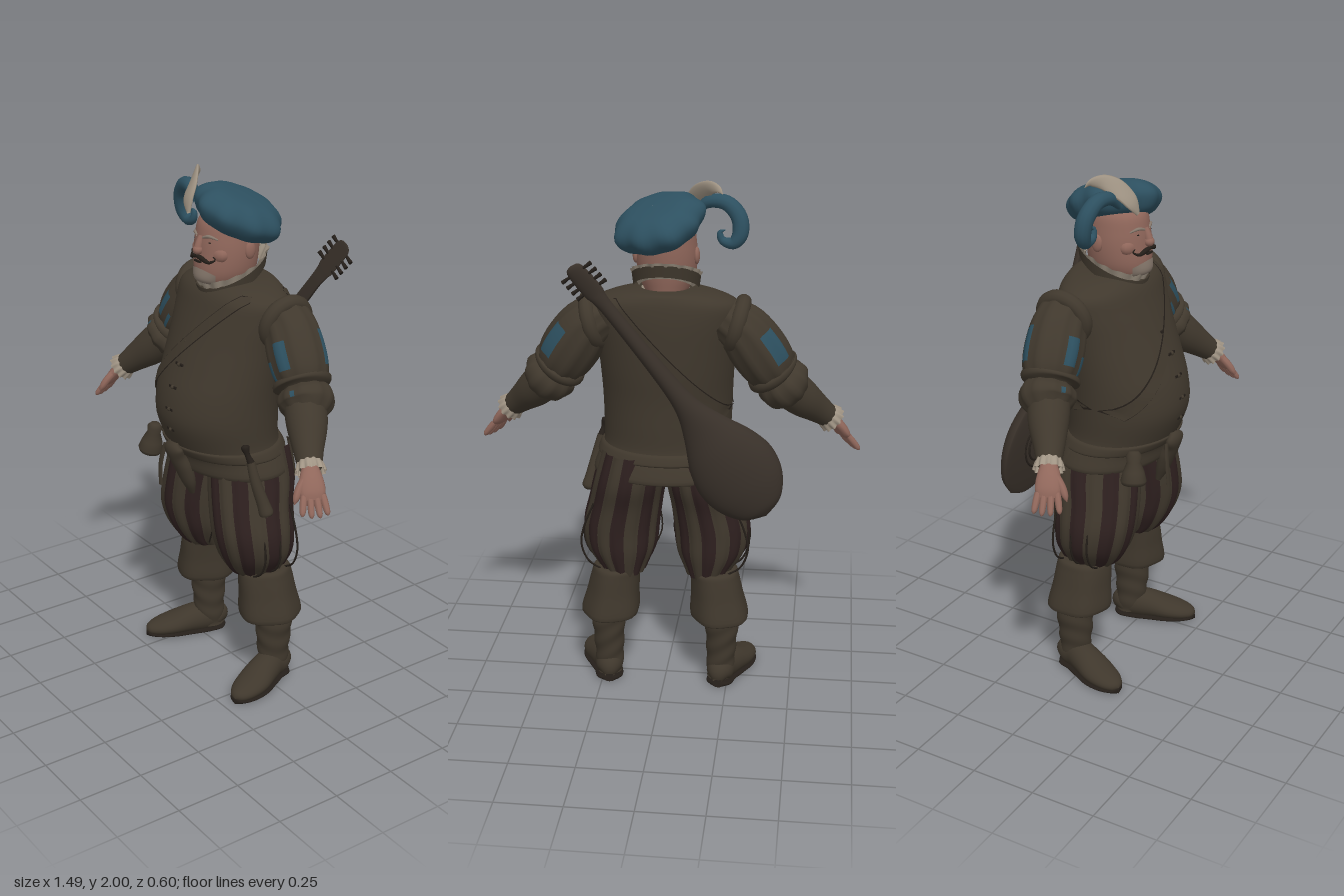
import * as THREE from 'three';

const V = (x, y, z) => new THREE.Vector3(x, y, z);
const mat = (name, color, side = THREE.FrontSide) =>
  Object.assign(new THREE.MeshStandardMaterial({ color, side }), { name });
const TAU = Math.PI * 2;

// Smooth interpolation through a small table of rows, t in 0..1
function sample(rows, t) {
  const n = rows.length - 1, i = Math.min(n - 1, Math.floor(t * n)), f = t * n - i;
  const at = k => rows[Math.max(0, Math.min(n, k))];
  return rows[0].map((_, c) => {
    const a = at(i - 1)[c], b = at(i)[c], d = at(i + 1)[c], e = at(i + 2)[c];
    return b + 0.5 * f * (d - a + f * (2 * a - 5 * b + 4 * d - e + f * (3 * (b - d) + e - a)));
  });
}

// Surface grid: u runs around, v runs along; pick chooses a material per cell
function grid(name, nu, nv, f, material, { open = false, pick } = {}) {
  const pos = [], w = open ? nu + 1 : nu, lists = [[], []];
  for (let j = 0; j <= nv; j++) for (let i = 0; i < w; i++) pos.push(...f(i / nu, j / nv).toArray());
  for (let j = 0; j < nv; j++) for (let i = 0; i < nu; i++) {
    const a = j * w + i, b = j * w + (i + 1) % w;
    lists[pick ? pick(i, j) : 0].push(a, b, b + w, a, b + w, a + w);
  }
  const g = new THREE.BufferGeometry();
  g.setAttribute('position', new THREE.Float32BufferAttribute(pos, 3));
  g.setIndex(lists.flat());
  if (pick) {
    g.addGroup(0, lists[0].length, 0);
    g.addGroup(lists[0].length, lists[1].length, 1);
  }
  g.computeVertexNormals();
  const m = new THREE.Mesh(g, material);
  m.name = name;
  return m;
}

// Upright form from rows of [y, centre x, half width, front z, back z]
const ringPoint = (rows, a, t, grow = 0) => {
  const [y, cx, rx, zf, zb] = sample(rows, t);
  return V(cx + (rx + grow) * Math.sin(a), y, (zf + zb) / 2 + ((zf - zb) / 2 + grow) * Math.cos(a));
};
const loft = (name, rows, material, { nu = 32, nv = rows.length * 4, grow = () => 0, pick } = {}) =>
  grid(name, nu, nv, (u, v) => ringPoint(rows, u * TAU, v, grow(u, v)), material, { pick });

// Form along a path from rows of [x, y, z, radius, second radius]
function limb(name, rows, material, { nu = 12, nv = rows.length * 4, ref = V(0, 0, 1), shape, pick } = {}) {
  rows = rows.map(r => r.length < 5 ? [...r, r[3]] : r);
  const at = t => { const p = sample(rows, t); return V(p[0], p[1], p[2]); };
  return grid(name, nu, nv, (u, v) => {
    const p = sample(rows, v), k = shape ? shape(u, v) : [1, 1];
    const d = at(Math.min(1, v + 0.01)).sub(at(Math.max(0, v - 0.01))).normalize();
    const e1 = ref.clone().cross(d).normalize(), e2 = d.clone().cross(e1);
    return V(p[0], p[1], p[2])
      .addScaledVector(e1, Math.max(p[3], 0.0004) * Math.cos(u * TAU) * k[0])
      .addScaledVector(e2, Math.max(p[4], 0.0004) * Math.sin(u * TAU) * k[1]);
  }, material, { pick });
}

export function createModel() {
  const model = new THREE.Group();
  model.name = 'minstrel';
  const D = THREE.DoubleSide;
  const cloth = mat('brown cloth', 0x40382d, D), leather = mat('boot leather', 0x3f372c, D);
  const stripe = mat('maroon stripe', 0x2e201f), blue = mat('blue cloth', 0x2d5060);
  const skin = mat('skin', 0x90675b), cream = mat('cream linen', 0xa09484, D);
  const dark = mat('dark trim', 0x241e19, D), beardMat = mat('grey beard', 0x85776b, D);
  const wood = mat('dark wood', 0x383029);
  const add = (...m) => model.add(...m);
  const put = (name, geo, m, x, y, z) => {
    const o = new THREE.Mesh(geo, m);
    o.name = name; o.position.set(x, y, z); add(o);
    return o;
  };

  // Doublet with rounded belly and short flared skirt
  const torso = [[.915, 0, .2, .15, -.13], [.89, 0, .278, .212, -.195], [.95, 0, .264, .228, -.18],
    [1, 0, .245, .255, -.158], [1.1, 0, .247, .29, -.158], [1.2, 0, .25, .28, -.16], [1.3, 0, .255, .245, -.168],
    [1.4, 0, .262, .205, -.172], [1.5, 0, .274, .165, -.172], [1.565, 0, .27, .138, -.165],
    [1.598, 0, .21, .11, -.155], [1.615, 0, .14, .08, -.14], [1.62, 0, .09, .04, -.1]];
  add(loft('doublet', torso, cloth, { nu: 48 }));
  const torsoAt = y => {
    let i = 1;
    while (i < torso.length - 2 && torso[i + 1][0] < y) i++;
    const f = (y - torso[i][0]) / (torso[i + 1][0] - torso[i][0]);
    return torso[i].map((a, c) => a + (torso[i + 1][c] - a) * f);
  };
  const torsoZ = (x, y, s) => {
    const [, , rx, zf, zb] = torsoAt(y);
    return (zf + zb) / 2 + s * ((zf - zb) / 2 * Math.sqrt(Math.max(0, 1 - (x / rx) ** 2)) + .008);
  };
  add(loft('belt', [.958, .966, .992, 1].map((y, i) => {
    const [, , rx, zf, zb] = torsoAt(y), o = i % 3 ? .009 : .001;
    return [y, 0, rx + o, zf + o, zb - o];
  }), leather, { nu: 48 }));
  // Shoulder strap, chest and back, with dark edges
  for (const s of [1, -1]) for (const [name, half, lift, m] of [['strapEdge', .023, 0, dark], ['strap', .02, .003, leather]])
    add(grid(name, 2, 30, (u, v) => {
      const o = (u - .5) * 2 * half, x = .2 - .437 * v - o * .7, y = 1.59 - .46 * v + o * .7;
      return V(x, y, torsoZ(x, y, s) + s * lift);
    }, m, { open: true }));
  for (let i = 0; i < 5; i++) {
    const y = 1.4 - i * .083;
    put('buttonLoop', new THREE.BoxGeometry(.045, .009, .009), dark, .01, y, torsoZ(0, y, 1) - .008);
    put('button', new THREE.SphereGeometry(.008, 10, 8), leather, .01, y, torsoZ(0, y, 1) - .005);
  }
  // Standing collar and linen ruff, both low at the throat
  const collar = (name, r, flare, y0, h, rise, wave, m) => add(grid(name, 96, 4, (u, v) => {
    const a = u * TAU, q = r + flare * v + wave * v * Math.sin(a * 16);
    return V(q * Math.sin(a), y0 + h * v + rise * (1 - Math.cos(a)) / 2, q * 1.06 * Math.cos(a) - .002);
  }, m));
  collar('collar', .122, .006, 1.545, .045, .135, 0, cloth);
  collar('ruff', .1, .03, 1.552, .064, .118, .006, cream);

  // Head
  const head = [[1.56, 0, .075, .06, -.08], [1.6, 0, .08, .11, -.085], [1.62, 0, .092, .138, -.088],
    [1.66, 0, .107, .146, -.095], [1.72, 0, .114, .143, -.102], [1.78, 0, .111, .137, -.105],
    [1.84, 0, .1, .12, -.1], [1.88, 0, .06, .06, -.06]];
  add(loft('head', head, skin));
  add(grid('beard', 24, 10, (u, v) => {
    const k = 2 * u - 1, top = .45 - .06 * k * k;
    return ringPoint(head, k * .72, .14 + (top - .14) * v, .009 * Math.sin(Math.PI * v) * (1 - k * k) + .002);
  }, beardMat, { open: true }));
  put('nose', new THREE.SphereGeometry(.02, 14, 10), skin, 0, 1.735, .146).scale.set(1, .9, 1);
  add(limb('noseBridge', [[0, 1.785, .13, .011], [0, 1.76, .14, .014], [0, 1.737, .147, .016]], skin));
  put('mouth', new THREE.BoxGeometry(.036, .007, .008), dark, 0, 1.693, .148);
  for (const s of [1, -1]) {
    put('ear', new THREE.SphereGeometry(.03, 12, 10), skin, s * .113, 1.735, -.005).scale.set(.4, 1.1, .75);
    put('cheek', new THREE.SphereGeometry(.045, 16, 12), skin, s * .05, 1.722, .09).scale.set(1.1, .8, .75);
    put('eye', new THREE.SphereGeometry(.01, 10, 8), dark, s * .04, 1.767, .124).scale.set(1.2, .5, .6);
    add(limb('brow', [[s * .018, 1.783, .137, .004], [s * .045, 1.79, .127, .006], [s * .072, 1.78, .107, .003]], beardMat));
    add(limb('moustache', [[0, 1.714, .152, .007], [s * .028, 1.709, .149, .009], [s * .053, 1.697, .137, .006],
      [s * .073, 1.708, .122, .003], [s * .067, 1.72, .126, .002]], dark, { nu: 8 }));
  }
  // Tilted soft cap
  const cap = loft('cap', [[-.04, 0, .1, .1, -.1], [-.052, 0, .115, .118, -.118], [-.034, 0, .148, .148, -.15],
    [.008, 0, .17, .17, -.168], [.046, 0, .152, .152, -.153], [.075, 0, .1, .1, -.1], [.083, 0, .001, .001, -.001]], blue, {
    nu: 56, grow: (u, v) => (.006 * Math.sin(u * TAU * 9 + 3 * v) + .005 * Math.sin(u * TAU * 4)) * Math.sin(Math.PI * v) ** 2 });
  cap.position.set(.022, 1.848, -.013);
  cap.rotation.set(-.3, 0, -.28);
  add(cap);
  add(limb('bluePlume', [[-.1, 1.88, .08, .012], [-.15, 1.92, .07, .024], [-.215, 1.92, .055, .029], [-.262, 1.875, .04, .031],
    [-.27, 1.815, .03, .03], [-.245, 1.778, .025, .024], [-.205, 1.785, .03, .016], [-.195, 1.815, .03, .01], [-.215, 1.825, .03, .001]], blue));
  add(limb('creamFeather', [[-.07, 1.855, .138, .01, .006], [-.09, 1.9, .125, .034, .009], [-.115, 1.945, .09, .038, .01],
    [-.15, 1.975, .05, .028, .009], [-.185, 1.978, .015, .015, .006], [-.205, 1.962, 0, .001, .001]], cream));

  for (const s of [1, -1]) {
    const X = rows => rows.map(([x, ...r]) => [s * x, ...r]);
    const C = rows => rows.map(([y, cx, ...r]) => [y, s * cx, ...r]);
    // Slashed sleeve with shoulder roll, elbow puff and forearm
    const roll = put('shoulderRoll', new THREE.TorusGeometry(.084, .03, 12, 32), cloth, s * .27, 1.492, -.05);
    roll.rotation.set(0, Math.PI / 2, s * -.25, 'ZYX');
    const ribs = u => { const k = 1 + .035 * Math.cos(u * TAU * 10); return [k, k]; };
    const slash = (i, j) => {
      const k = s > 0 ? i : (59 - i) % 40;
      return +((k > 5 && k < 9 && j > 7 && j < 14) || (k === 11 && j > 10 && j < 16) || (k > 32 && k < 37 && j > 6 && j < 14));
    };
    add(limb('upperSleeve', X([[.22, 1.52, -.055, .08], [.29, 1.475, -.055, .099], [.345, 1.4, -.045, .108],
      [.39, 1.33, -.035, .1], [.425, 1.28, -.022, .07]]), [cloth, blue], { nu: 40, nv: 20, shape: ribs, pick: slash }));
    add(limb('elbowBand', X([[.392, 1.325, -.03, .08], [.398, 1.315, -.028, .105], [.41, 1.3, -.025, .105], [.418, 1.29, -.022, .078]]), cloth, { nu: 28 }));
    add(limb('elbowPuff', X([[.41, 1.3, -.024, .07], [.43, 1.275, -.018, .098], [.455, 1.245, -.008, .1], [.48, 1.218, .008, .07]]), [cloth, blue],
      { nu: 40, shape: ribs, pick: (i, j) => +((s > 0 ? i : (59 - i) % 40) === 6 && j > 5 && j < 10) }));
    add(limb('forearm', X([[.45, 1.25, -.005, .078], [.51, 1.19, .03, .073], [.57, 1.135, .07, .056], [.62, 1.09, .1, .043]]), cloth, { nu: 24 }));
    add(limb('laceCuff', X([[.6, 1.108, .088, .04], [.617, 1.093, .098, .049], [.633, 1.077, .107, .053]]), cream,
      { nu: 60, shape: (u, v) => { const k = 1 + .1 * v * Math.sin(u * TAU * 12); return [k, k]; } }));
    // Hand with spread fingers
    add(limb('palm', X([[.615, 1.095, .097, .028, .024], [.65, 1.058, .117, .043, .023], [.675, 1.022, .13, .046, .02], [.69, 1, .137, .032, .009]]),
      skin, { ref: V(s * .67, .65, .34), nu: 16 }));
    for (let i = 0; i < 4; i++) {
      const k = i - 1.5, l = 1 - .1 * Math.abs(k);
      const p = (f, r) => [.68 + .047 * f * l - k * (.01 + .004 * f), 1.014 - .07 * f * l, .131 + .02 * f + k * (.02 + .007 * f), r];
      add(limb('finger', X([p(0, .012), p(.4, .013), p(.85, .01), p(1, .001)]), skin, { nu: 8 }));
    }
    add(limb('thumb', X([[.635, 1.07, .13, .015], [.645, 1.035, .165, .015], [.653, 1.005, .185, .012], [.657, .985, .195, .001]]), skin, { nu: 8 }));

    // Striped puffed breeches
    add(loft('breeches', C([[.465, .165, .08, .085, -.11], [.5, .17, .1, .12, -.12], [.57, .178, .137, .16, -.135], [.66, .178, .147, .185, -.14],
      [.76, .16, .142, .187, -.15], [.86, .14, .138, .18, -.175], [.98, .12, .125, .17, -.165]]), [cloth, stripe],
    { nu: 64, grow: u => .004 * Math.cos(u * TAU * 16), pick: i => (i + 2) % 8 < 4 ? 1 : 0 }));
    for (const z of [-.08, 0, .07])
      add(limb('ribbonLoop', X([[.275, .76, z, .004], [.312, .67, z, .004], [.326, .59, z, .004], [.3, .52, z, .004], [.25, .485, z, .004]]), dark, { nu: 6 }));
    add(limb('innerRibbon', X([[.04, .72, .08, .003], [.025, .6, .07, .003], [.08, .49, .05, .003]]), dark, { nu: 6 }));

    // Boots with wide turned-down cuffs
    add(loft('bootCuff', C([[.3, .218, .065, .04, -.12], [.288, .219, .113, .092, -.158], [.38, .207, .103, .09, -.142], [.45, .197, .096, .088, -.132],
      [.485, .188, .092, .08, -.122], [.49, .18, .06, .05, -.09]]), leather, { grow: (u, v) => .005 * (1 - v) * Math.sin(u * TAU * 5) }));
    add(loft('bootShaft', C([[.03, .222, .05, 0, -.108], [.1, .224, .056, .015, -.108], [.18, .226, .06, .025, -.115], [.26, .226, .066, .032, -.122], [.33, .216, .07, .04, -.12]]),
      leather, { nv: 30, grow: (u, v) => .0022 * Math.sin(v * 26 + 3 * Math.sin(u * TAU)) }));
    const foot = [[.217, .03, -.112, .02, .02], [.221, .055, -.085, .05, .053], [.232, .062, -.03, .056, .062], [.257, .056, .03, .062, .056],
      [.284, .043, .095, .067, .043], [.304, .034, .155, .055, .032], [.316, .028, .195, .03, .02], [.32, .025, .208, .001, .001]];
    add(limb('bootFoot', X(foot), leather, { ref: V(0, 1, 0), nu: 24 }));
    add(limb('sole', X(foot.map(([x, , z, r]) => [x, .011, z, r * 1.02, .011])), dark, { ref: V(0, 1, 0), nu: 24 }));
  }

  // Belt gear: knotted end, pouch, dagger
  add(limb('beltKnot', [[0, 1.01, .26, .02, .01], [0, .985, .265, .052, .024], [.005, .945, .25, .04, .028], [.01, .9, .228, .042, .03],
    [.015, .84, .208, .034, .024], [.012, .785, .19, .012, .01]], leather, { nu: 16 }));
  add(limb('beltTail', [[-.06, .98, .262, .012, .005], [-.075, .9, .275, .014, .004], [-.07, .81, .28, .012, .004]], leather, { nu: 8 }));
  const pouch = put('pouch', new THREE.LatheGeometry([[0, -.065], [.042, -.06], [.049, -.045], [.04, -.01], [.026, .025], [.03, .05], [.018, .065], [0, .066]]
    .map(p => new THREE.Vector2(...p)), 20), leather, -.225, .935, .215);
  pouch.rotation.set(-.1, 0, -.2);
  add(limb('daggerSheath', [[.268, .98, .1, .016], [.287, .9, .09, .02], [.305, .82, .07, .024], [.316, .775, .06, .026], [.317, .77, .06, .001]], leather));
  add(limb('daggerGrip', [[.25, 1.045, .115, .001], [.252, 1.04, .115, .016], [.26, 1.01, .11, .01], [.268, .98, .1, .014]], dark));

  // Lute slung across the back: flat face forward, bowl behind
  const axis = (f, z, w, d) => [-.4 + .705 * f, .8 + .955 * f, z, w, d];
  add(limb('lute', [axis(0, -.215, .002, .002), axis(.025, -.207, .085, .04), axis(.09, -.192, .146, .072), axis(.17, -.18, .166, .086),
    axis(.25, -.177, .143, .08), axis(.34, -.18, .09, .056), axis(.43, -.187, .048, .045), axis(.55, -.198, .033, .04), axis(.8, -.24, .026, .028),
    axis(.87, -.256, .03, .022), axis(.9, -.264, .037, .018), axis(.985, -.288, .032, .015), axis(1, -.292, .001, .001)], wood,
  { nu: 32, nv: 60, shape: u => [1, u > 0 && u < .5 ? .12 : 1] }));
  for (const r of [.05, .075])
    put('soundHoleRing', new THREE.TorusGeometry(r, .004, 8, 28), dark, -.29, .96, -.168).scale.z = .8;
  for (let i = 0; i < 4; i++) for (const s of [1, -1]) {
    const [x, y, z] = axis(.905 + i * .023, -.266 - i * .008, 0, 0);
    const peg = put('peg', new THREE.CylinderGeometry(.008, .005, .035, 8), dark, x + s * .038, y - s * .028, z);
    peg.rotation.z = s > 0 ? -2.21 : .93;
  }
  return model;
}
